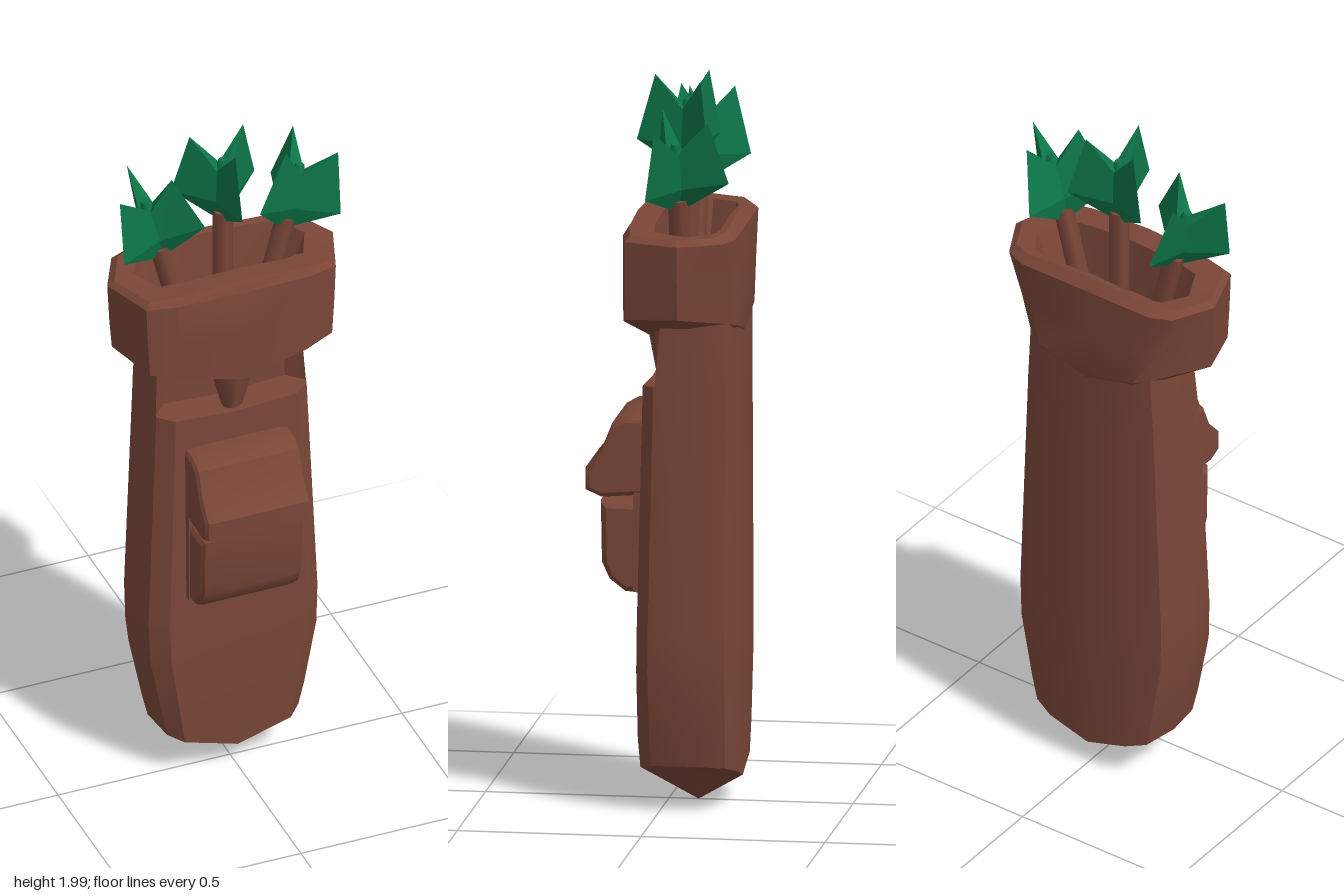
import * as THREE from 'three';
import { toCreasedNormals } from 'three/addons/utils/BufferGeometryUtils.js';

const leather = new THREE.MeshStandardMaterial({ color: 0x7a4638 });
leather.name = 'brown leather';
const feather = new THREE.MeshStandardMaterial({ color: 0x0d7548 });
feather.name = 'green feather';

// Skin a list of equal-length rings, given counterclockwise seen from above
function loft(rings, crease) {
  const pos = [];
  const n = rings[0].length;
  for (let i = 0; i < rings.length - 1; i++) {
    for (let j = 0; j < n; j++) {
      const k = (j + 1) % n;
      const a = rings[i][j], b = rings[i][k], c = rings[i + 1][k], d = rings[i + 1][j];
      pos.push(...a, ...b, ...c, ...a, ...c, ...d);
    }
  }
  const geo = new THREE.BufferGeometry();
  geo.setAttribute('position', new THREE.Float32BufferAttribute(pos, 3));
  geo.computeVertexNormals();
  return crease ? toCreasedNormals(geo, crease) : geo;
}

// Mirrored ring from a half profile of [x share, z share], front centre to back centre
function ring(profile, { y, slope = 0, w, wBack = w, back, front, centre = front }) {
  const half = profile.map(([px, pz]) => {
    const x = px * (pz < 0.3 ? wBack : w);
    const f = pz === 1 ? centre : front;
    return [x, y + slope * x, back + pz * (f - back)];
  });
  const mirrored = half.slice(1, -1).reverse().map(([x, yy, z]) => [-x, yy, z]);
  return [...half, ...mirrored];
}

function mesh(name, geo, mat) {
  const m = new THREE.Mesh(geo, mat);
  m.name = name;
  return m;
}

// Side profile of [z, y] points, extruded across x with bevelled ends
function sideExtrude(points, width, bevel) {
  const shape = new THREE.Shape(points.map(([z, y]) => new THREE.Vector2(z, y)));
  const depth = width - 2 * bevel;
  const geo = new THREE.ExtrudeGeometry(shape, {
    depth, bevelEnabled: true, bevelSize: bevel * 0.6, bevelOffset: -bevel * 0.6,
    bevelThickness: bevel, bevelSegments: 2,
  });
  geo.translate(0, 0, -depth / 2);
  geo.rotateY(-Math.PI / 2);
  return toCreasedNormals(geo, 0.6);
}

// Three-vaned fletching, base at the origin
function fletchingGeometry() {
  const star = (rTip, yTip, rHub, yHub) => Array.from({ length: 6 }, (_, i) => {
    const a = i * Math.PI / 3;
    const r = i % 2 ? rHub : rTip;
    return [r * Math.sin(a), i % 2 ? yHub : yTip, r * Math.cos(a)];
  });
  return loft([
    star(0, 0, 0, 0),
    star(0.14, 0.09, 0.03, 0.08),
    star(0.09, 0.27, 0.025, 0.18),
    star(0, 0.17, 0, 0.17),
  ]);
}

export function createModel() {
  const model = new THREE.Group();
  model.name = 'quiver';

  // Body: pointed at the foot, with a recess in the front under the rim
  const bodyProfile = [[0, 1], [0.75, 1], [0.93, 0.86], [1, 0.45], [0.88, 0.08], [0.6, 0], [0, 0]];
  const bodyRings = [
    { y: 0.01, slope: 0.65, w: 0.2, back: -0.08, front: -0.08 },
    { y: 0.08, slope: 0.3, w: 0.205, back: -0.2, front: 0.055 },
    { y: 0.19, slope: 0.1, w: 0.222, back: -0.203, front: 0.06 },
    { y: 0.4, w: 0.26, back: -0.205, front: 0.06 },
    { y: 0.52, w: 0.264, back: -0.205, front: 0.058 },
    { y: 1.17, slope: 0.06, w: 0.235, back: -0.205, front: 0.045 },
    { y: 1.175, slope: 0.06, w: 0.235, back: -0.205, front: 0.04, centre: -0.04 },
    { y: 1.43, w: 0.22, back: -0.205, front: 0.02, centre: -0.04 },
    { y: 1.43, w: 0, back: -0.08, front: -0.08 },
  ];
  model.add(mesh('body', loft(bodyRings.map(r => ring(bodyProfile, r)), 0.5), leather));

  // Rim: wide collar with a dipped front edge and a hollow mouth
  const rimProfile = [[0, 1], [0.58, 0.99], [0.84, 0.93], [1, 0.45], [0.84, 0.08], [0.66, 0], [0, 0]];
  const rimRings = [
    { y: 1.27, slope: 0.35, w: 0.21, wBack: 0.2, back: -0.19, front: 0.03 },
    { y: 1.31, slope: 0.26, w: 0.315, wBack: 0.235, back: -0.208, front: 0.1 },
    { y: 1.46, slope: 0.05, w: 0.322, wBack: 0.27, back: -0.209, front: 0.1 },
    { y: 1.595, w: 0.328, wBack: 0.32, back: -0.21, front: 0.1 },
    { y: 1.625, slope: -0.05, w: 0.31, back: -0.185, front: 0.085 },
    { y: 1.62, slope: -0.05, w: 0.25, back: -0.165, front: 0.02 },
    { y: 1.46, w: 0.2, back: -0.15, front: 0.01 },
    { y: 1.45, w: 0, back: -0.08, front: -0.08 },
  ];
  model.add(mesh('rim', loft(rimRings.map(r => ring(rimProfile, r)), 0.5), leather));

  // Pointed tab in the recess
  const tab = mesh('recessTab', new THREE.CylinderGeometry(0.075, 0.02, 0.2, 6), leather);
  tab.scale.z = 0.7;
  tab.position.set(0, 1.235, 0.012);
  model.add(tab);

  // Front pouch with its flap
  const pouch = new THREE.Group();
  pouch.name = 'pouch';
  const plate = mesh('pouchBacking', new THREE.BoxGeometry(0.3, 0.47, 0.04), leather);
  plate.position.set(0, 0.84, 0.055);
  const pocket = sideExtrude([[0.04, 0.6], [0.1, 0.6], [0.145, 0.635], [0.165, 0.68], [0.168, 0.85], [0.04, 0.85]], 0.295, 0.03);
  const flap = sideExtrude([[0.04, 1.085], [0.1, 1.085], [0.135, 1.065], [0.165, 0.99], [0.208, 0.94], [0.208, 0.88], [0.165, 0.86], [0.04, 0.87]], 0.305, 0.025);
  pouch.add(plate, mesh('pocket', pocket, leather), mesh('flap', flap, leather));
  model.add(pouch);

  // Arrows: one upright, two leaning outward
  const fletching = fletchingGeometry();
  const turned = fletching.clone().rotateY(Math.PI);
  const shaftGeo = new THREE.CylinderGeometry(0.028, 0.028, 0.36, 6);
  shaftGeo.translate(0, -0.14, 0);
  const smallKnob = new THREE.CylinderGeometry(0.012, 0.022, 0.04, 6);
  for (const side of [-1, 0, 1]) {
    const arrow = new THREE.Group();
    arrow.name = side === 0 ? 'middleArrow' : side > 0 ? 'leftArrow' : 'rightArrow';
    const knob = mesh('nock', smallKnob, feather);
    knob.position.y = 0.185;
    arrow.add(
      mesh('shaft', shaftGeo, leather),
      mesh('fletching', side === 0 ? fletching : turned, feather),
      knob,
    );
    arrow.position.set(side * 0.175, side === 0 ? 1.73 : 1.66, -0.052);
    arrow.rotation.z = -side * 0.25;
    model.add(arrow);
  }
  return model;
}
